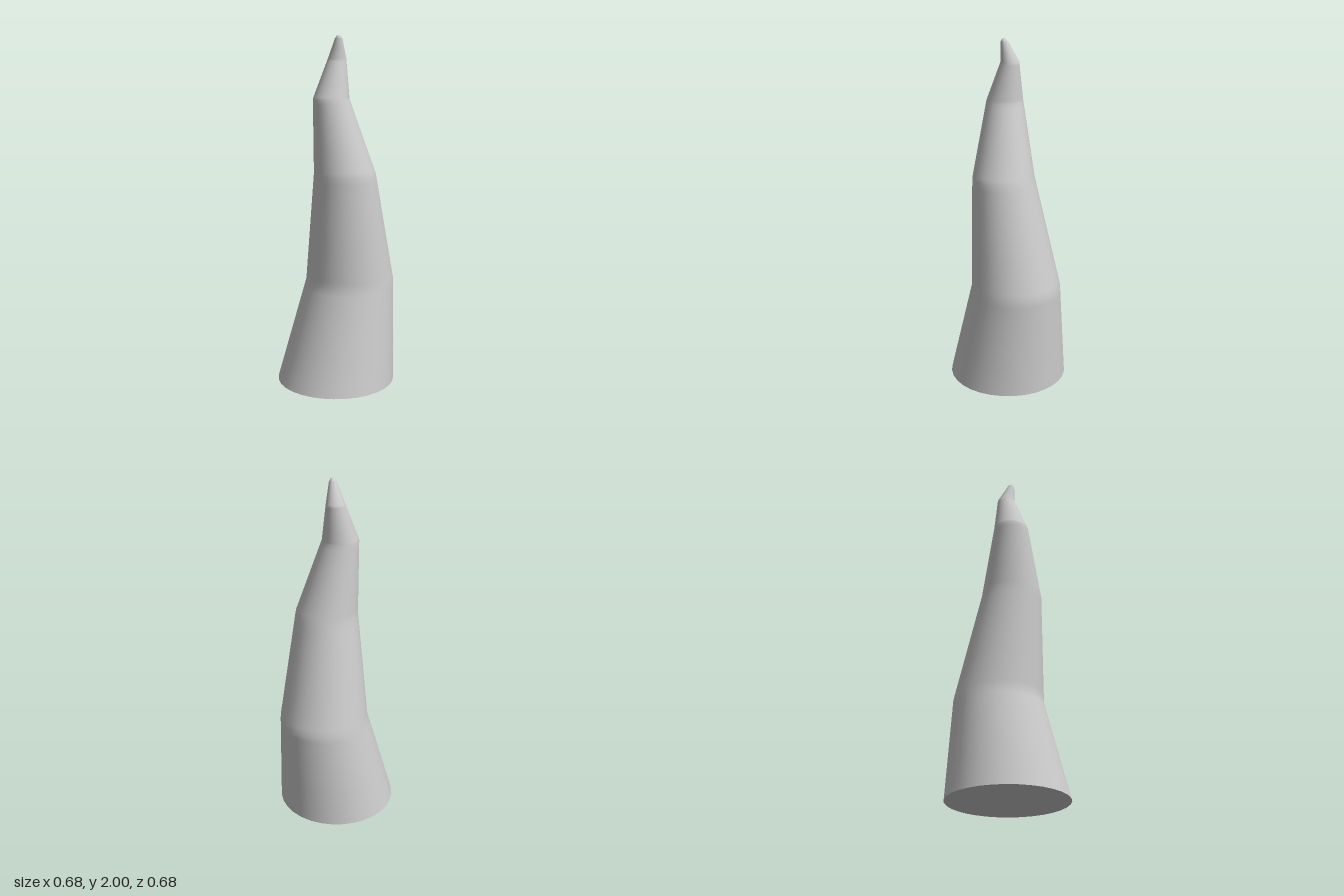
import * as THREE from 'three';

const SIDES = 32;

// Rings up the spike: height, centre x, centre z, radius
const RINGS = [
  [0, 0, 0, 0.34],
  [0.59, 0.068, -0.07, 0.255],
  [1.23, 0.055, 0.009, 0.175],
  [1.65, -0.02, 0.025, 0.102],
  [1.87, 0.005, -0.012, 0.051],
  [1.98, 0.02, 0.014, 0.021],
  [1.995, 0.021, 0.016, 0.012],
  [2, 0.021, 0.017, 0],
];

// Straight spans with extra rings near each bend, so the bends stay tight
function subdivide(rings) {
  const out = [];
  for (let i = 0; i < rings.length - 1; i++) {
    const steps = i < 4 ? [0, 0.06, 0.35, 0.65, 0.94] : [0, 0.5];
    for (const t of steps) {
      out.push(rings[i].map((v, k) => THREE.MathUtils.lerp(v, rings[i + 1][k], t)));
    }
  }
  out.push(rings[rings.length - 1]);
  return out;
}

// Smooth closed skin through horizontal circular rings
function skin(rings) {
  const position = [];
  const index = [];
  rings.forEach(([y, cx, cz, r], i) => {
    for (let j = 0; j < SIDES; j++) {
      const a = (j / SIDES) * Math.PI * 2;
      position.push(cx + r * Math.sin(a), y, cz + r * Math.cos(a));
      if (i === rings.length - 1) continue;
      const k = (j + 1) % SIDES;
      const a0 = i * SIDES + j, b0 = i * SIDES + k;
      const a1 = a0 + SIDES, b1 = b0 + SIDES;
      index.push(a0, b0, b1);
      if (i < rings.length - 2) index.push(a0, b1, a1);
      else index[index.length - 1] = a1;
    }
  });
  const geometry = new THREE.BufferGeometry();
  geometry.setAttribute('position', new THREE.Float32BufferAttribute(position, 3));
  geometry.setIndex(index);
  geometry.computeVertexNormals();
  return geometry;
}

export function createModel() {
  const group = new THREE.Group();
  group.name = 'crookedSpike';
  const material = new THREE.MeshStandardMaterial({ color: 0xcccccc });

  // Crooked tapering body
  const body = new THREE.Mesh(skin(subdivide(RINGS)), material);
  body.name = 'spikeBody';
  group.add(body);

  // Flat underside
  const base = new THREE.Mesh(new THREE.CircleGeometry(RINGS[0][3], SIDES), material);
  base.name = 'baseCap';
  base.rotation.x = Math.PI / 2;
  group.add(base);

  return group;
}
